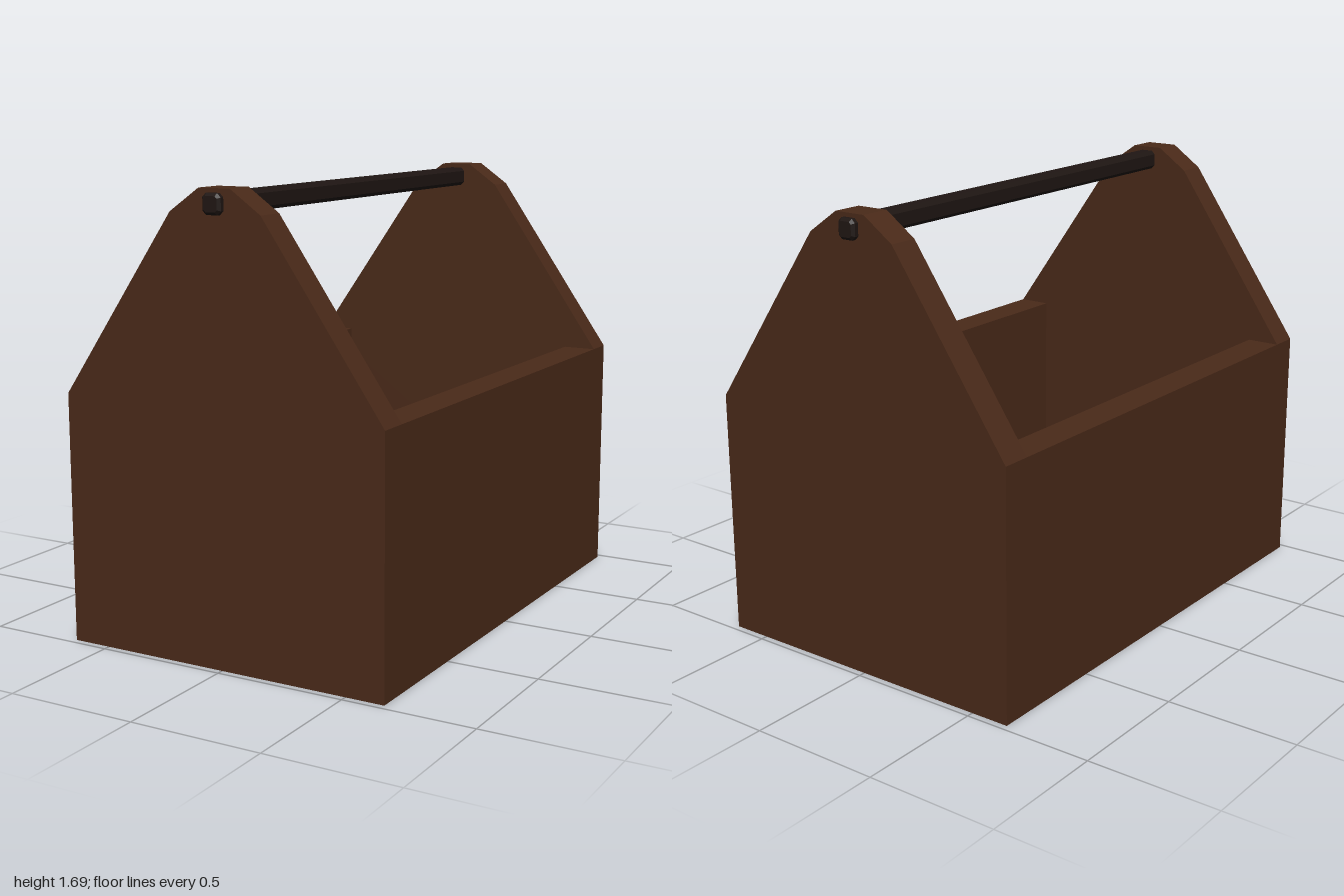
import * as THREE from 'three';

const wood = new THREE.MeshStandardMaterial({ color: 0x4a2a19, flatShading: true });
const darkWood = new THREE.MeshStandardMaterial({ color: 0x1f1613, flatShading: true });

const HALF_WIDTH = 0.65, WALL_HEIGHT = 0.935, WALL = 0.13, FLOOR = 0.045;
const END_OUTER = 0.975, END_INNER = 0.86;

function addMesh(parent, name, geometry, material, x = 0, y = 0, z = 0) {
  const mesh = new THREE.Mesh(geometry, material);
  mesh.name = name;
  mesh.position.set(x, y, z);
  parent.add(mesh);
  return mesh;
}

// Closed shape from half an outline, mirrored across x = 0
function mirroredShape(half) {
  const left = half.map(([x, y]) => [-x, y]).reverse();
  return new THREE.Shape([...half, ...left].map(([x, y]) => new THREE.Vector2(x, y)));
}

export function createModel() {
  const group = new THREE.Group();
  group.name = 'toolCaddy';

  // Gabled end panels
  const panelShape = mirroredShape([[HALF_WIDTH, 0], [HALF_WIDTH, WALL_HEIGHT], [0.183, 1.606], [0.063, 1.69]]);
  const panelGeometry = new THREE.ExtrudeGeometry(panelShape, { depth: END_OUTER - END_INNER, bevelEnabled: false });
  addMesh(group, 'frontPanel', panelGeometry, wood, 0, 0, END_INNER);
  addMesh(group, 'backPanel', panelGeometry, wood, 0, 0, -END_OUTER);

  // Side walls between the panels
  const wallGeometry = new THREE.BoxGeometry(WALL, WALL_HEIGHT, END_INNER * 2);
  for (const [name, side] of [['leftWall', 1], ['rightWall', -1]]) {
    addMesh(group, name, wallGeometry, wood, side * (HALF_WIDTH - WALL / 2), WALL_HEIGHT / 2);
  }

  // Floor board
  const floorGeometry = new THREE.BoxGeometry((HALF_WIDTH - WALL) * 2, FLOOR, END_INNER * 2);
  addMesh(group, 'floor', floorGeometry, wood, 0, FLOOR / 2);

  // Square carrying bar with chamfered edges and ends, passing through both panels
  const r = 0.027, c = 0.019, bevel = 0.01;
  const barShape = mirroredShape([[c, -r], [r, -c], [r, c], [c, r]]);
  const barGeometry = new THREE.ExtrudeGeometry(barShape, {
    depth: 2 - bevel * 2, bevelThickness: bevel, bevelSize: bevel, bevelSegments: 1,
  });
  addMesh(group, 'handleBar', barGeometry, darkWood, 0, 1.638, -1 + bevel);

  return group;
}
